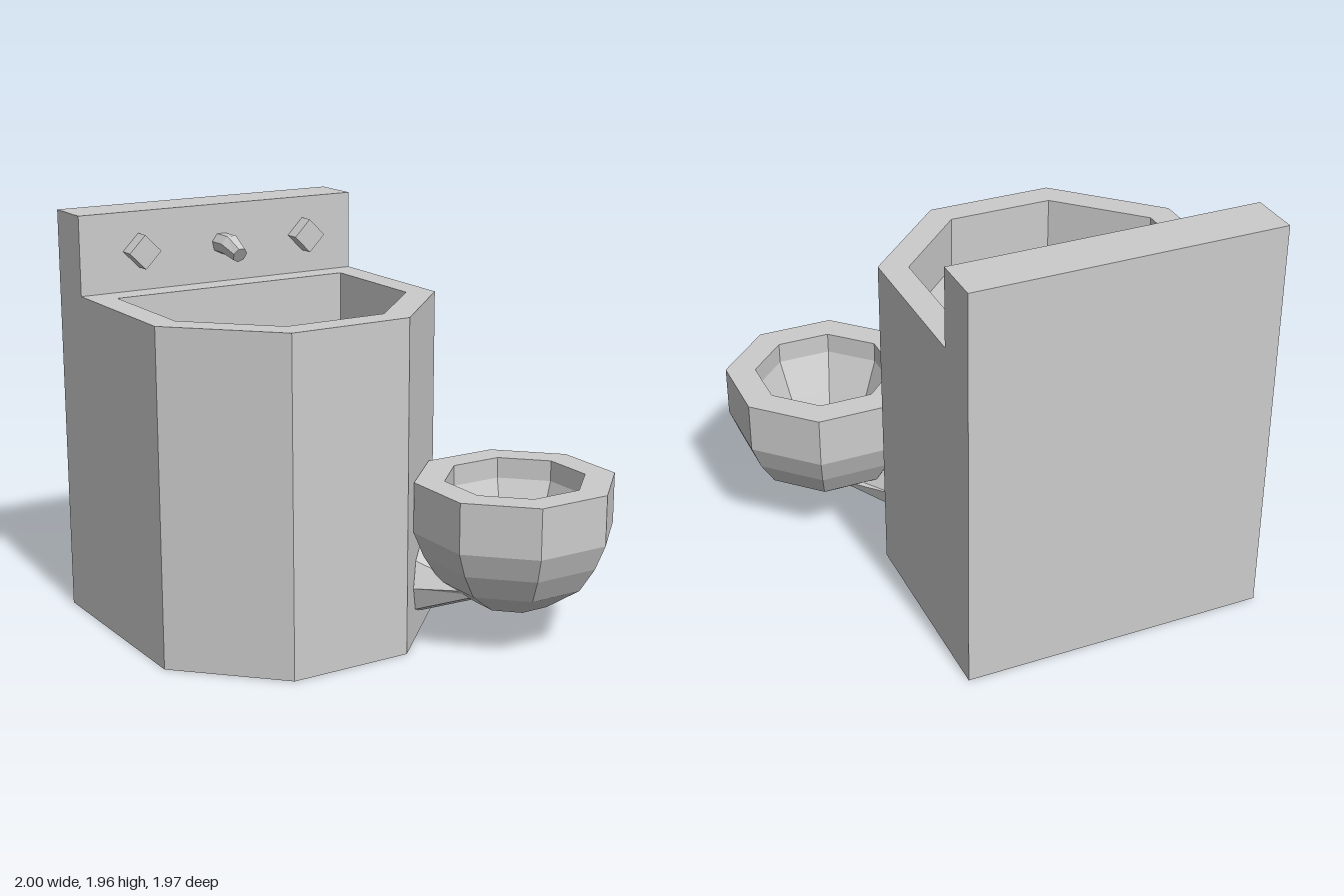
import * as THREE from 'three';

const material = new THREE.MeshStandardMaterial({ color: 0xcccccc, flatShading: true });
const openMaterial = new THREE.MeshStandardMaterial({ color: 0xcccccc, flatShading: true, side: THREE.DoubleSide });

function addMesh(parent, name, geometry, mat = material) {
  const flat = geometry.index ? geometry.toNonIndexed() : geometry;
  flat.computeVertexNormals();
  const mesh = new THREE.Mesh(flat, mat);
  mesh.name = name;
  parent.add(mesh);
  return mesh;
}

// Joins equal-sized rings of [x, y, z] points, with optional flat end caps
function loft(rings, capStart = false, capEnd = false) {
  const out = [];
  const n = rings[0].length;
  for (let k = 0; k < rings.length - 1; k++) {
    const a = rings[k], b = rings[k + 1];
    for (let i = 0; i < n; i++) {
      const j = (i + 1) % n;
      out.push(...a[i], ...a[j], ...b[j], ...a[i], ...b[j], ...b[i]);
    }
  }
  const first = rings[0], last = rings[rings.length - 1];
  for (let i = 1; i < n - 1; i++) {
    if (capStart) out.push(...first[0], ...first[i + 1], ...first[i]);
    if (capEnd) out.push(...last[0], ...last[i], ...last[i + 1]);
  }
  const g = new THREE.BufferGeometry();
  g.setAttribute('position', new THREE.Float32BufferAttribute(out, 3));
  return g;
}

// Regular polygon as [u, v] pairs, first corner pointing along -v
function polygon(n, r) {
  return Array.from({ length: n }, (_, i) => {
    const a = -Math.PI / 2 + (i * 2 * Math.PI) / n;
    return [r * Math.cos(a), r * Math.sin(a)];
  });
}

function buildCabinet(group) {
  const outline = [[-0.57, 0.45], [0.03, 0.45], [0.46, 0.02], [0.46, -0.985], [-1, -0.985], [-1, 0.02]];
  const basin = [[-0.52, 0.32], [-0.02, 0.32], [0.335, -0.035], [0.335, -0.62], [-0.875, -0.62], [-0.875, -0.035]];
  const at = (pts, y) => pts.map(([x, z]) => [x, y, z]);
  const top = 1.585, floor = 1.335, drainFloor = 1.2;

  // Underside, outer walls, rim and basin walls in one shell
  addMesh(group, 'cabinetAndBasinWalls',
    loft([at(outline, 0), at(outline, top), at(basin, top), at(basin, floor)], true));

  // Basin floor with a seven-sided drain
  const drain = polygon(7, 0.125).map(([x, z]) => [x - 0.255, z - 0.385]).reverse();
  const toShape = (pts) => pts.map(([x, z]) => new THREE.Vector2(x, -z));
  const shape = new THREE.Shape(toShape(basin));
  shape.holes.push(new THREE.Path(toShape(drain)));
  addMesh(group, 'basinFloor', new THREE.ShapeGeometry(shape).rotateX(-Math.PI / 2).translate(0, floor, 0));
  addMesh(group, 'basinDrain', loft([at(drain, floor), at(drain, drainFloor)], false, true));

  addMesh(group, 'backsplash', new THREE.BoxGeometry(1.46, 0.375, 0.24)).position.set(-0.27, 1.7725, -0.865);
}

function buildTaps(group) {
  // Diamond-shaped push buttons
  for (const [name, x] of [['rightButton', -0.7], ['leftButton', 0.19]]) {
    const button = addMesh(group, name, new THREE.BoxGeometry(0.115, 0.115, 0.08));
    button.position.set(x, 1.775, -0.71);
    button.rotation.z = Math.PI / 4;
  }
  // Spout: centre height, depth, radius and lean of each section
  const sections = [[1.77, -0.75, 0.052, 0], [1.77, -0.655, 0.052, 0.015], [1.737, -0.5625, 0.036, 0.0225]];
  const rings = sections.map(([y, z, r, lean]) =>
    polygon(7, r).map(([u, v]) => [u - 0.26, y + v, z + (lean * v) / r]));
  addMesh(group, 'spout', loft(rings, false, true));
}

function buildToilet(group) {
  // Local +z points diagonally back towards the cabinet's chamfered corner
  const toilet = new THREE.Group();
  toilet.name = 'toilet';
  toilet.position.set(0.56, 0, 0.545);
  toilet.rotation.y = -0.75 * Math.PI;
  group.add(toilet);

  const lathe = (pts, segments) => new THREE.LatheGeometry(
    pts.map(([r, y]) => new THREE.Vector2(r / Math.cos(Math.PI / 8), y)),
    segments, Math.PI / 8, (segments * Math.PI) / 4);

  // Outer bowl, rim and upper inner wall
  addMesh(toilet, 'bowl', lathe([
    [0, 0.195], [0.17, 0.195], [0.325, 0.31], [0.395, 0.43], [0.44, 0.55], [0.44, 0.79],
    [0.308, 0.79], [0.308, 0.69], [0.24, 0.5],
  ], 8), openMaterial);
  // Lower inner wall, left open on the outlet side
  addMesh(toilet, 'bowlLowerWall', lathe([[0.24, 0.5], [0.17, 0.3]], 7), openMaterial);
  addMesh(toilet, 'bowlFloor', lathe([[0.17, 0.3], [0, 0.3]], 8), openMaterial);

  // Outlet passage inside the bowl wall
  const passage = (w1, y1, z1, w2, y2, z2) => [[-w1, y1, z1], [w1, y1, z1], [w2, y2, z2], [-w2, y2, z2]];
  addMesh(toilet, 'outletPassage', loft([
    passage(0.09, 0.15, 0.42, 0.09, 0.33, 0.42),
    passage(0.0704, 0.3, 0.17, 0.0994, 0.5, 0.24),
  ], true), openMaterial);

  // Octagonal waste pipe sloping down to the cabinet, tucked under the bowl floor
  const pipe = (y, z, limit) => polygon(8, 0.17).map(([u, v]) => [u, Math.min(y + v, limit), z]);
  addMesh(toilet, 'wastePipe', loft([pipe(0.364, 0.13, 0.28), pipe(0.27, 0.44, 1)]));
}

export function createModel() {
  const model = new THREE.Group();
  model.name = 'sinkAndToiletUnit';
  buildCabinet(model);
  buildTaps(model);
  buildToilet(model);
  return model;
}
